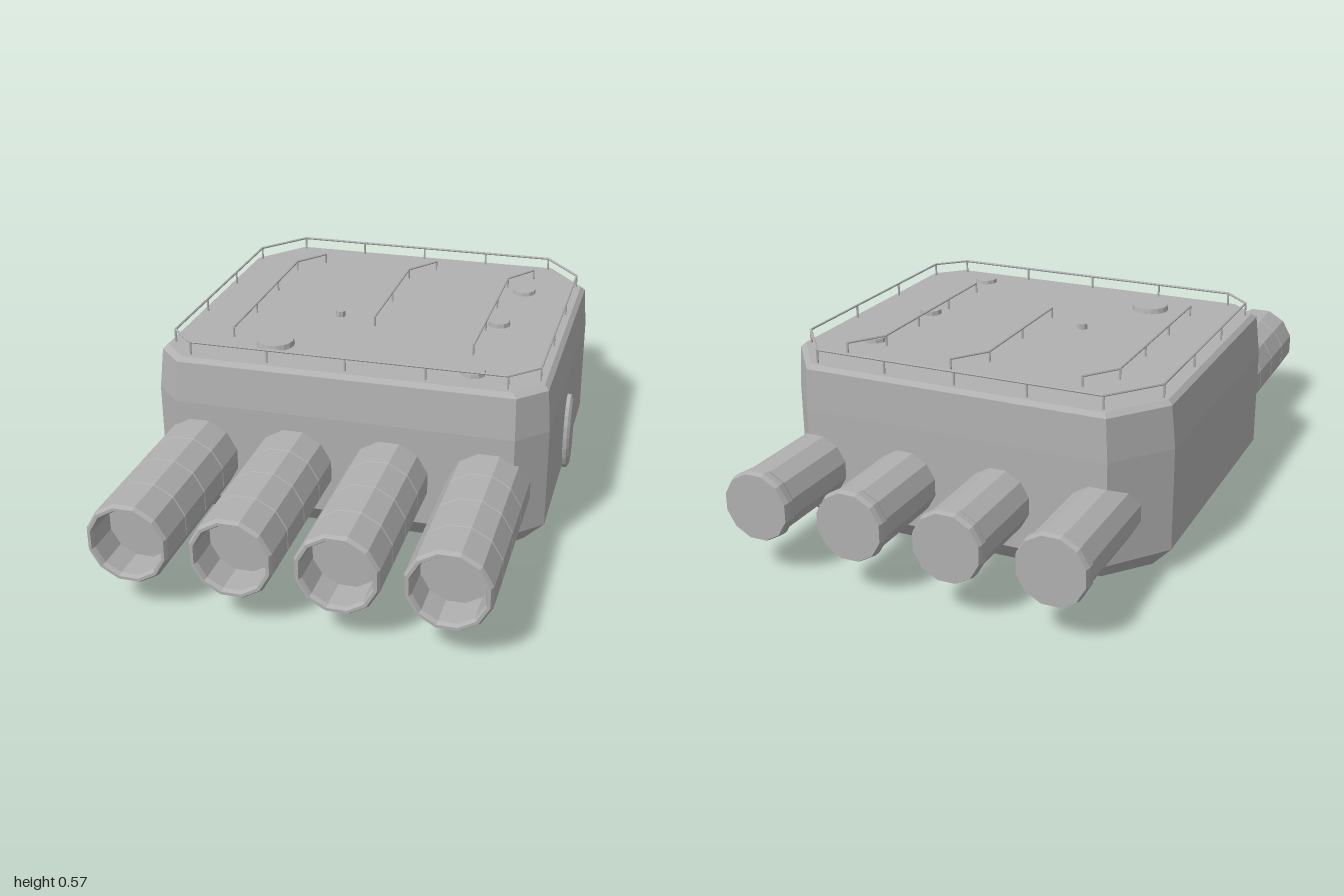
import * as THREE from 'three';

export function createModel() {
  const model = new THREE.Group();
  model.name = 'machineBlock';
  const grey = new THREE.MeshStandardMaterial({ color: 0xb0b0b0, flatShading: true });
  grey.name = 'plain grey';

  const add = (parent, name, geometry) => {
    const mesh = new THREE.Mesh(geometry, grey);
    mesh.name = name;
    parent.add(mesh);
    return mesh;
  };

  // Rectangle with cut corners, counter-clockwise from above
  const octagon = (x0, x1, z0, z1, front, bx, bz) => [
    [x1, z1 - front], [x1, z0 + bz], [x1 - bx, z0], [x0 + bx, z0],
    [x0, z0 + bz], [x0, z1 - front], [x0 + front, z1], [x1 - front, z1],
  ];

  // Body: stacked octagonal sections
  const levels = [
    [0, octagon(-0.56, 0.54, -0.61, 0.38, 0.05, 0.11, 0.13)],
    [0.075, octagon(-0.625, 0.605, -0.68, 0.445, 0.088, 0.135, 0.17)],
    [0.39, octagon(-0.625, 0.605, -0.68, 0.445, 0.088, 0.135, 0.17)],
    [0.517, octagon(-0.612, 0.595, -0.675, 0.43, 0.082, 0.13, 0.165)],
    [0.53, octagon(-0.598, 0.581, -0.662, 0.415, 0.08, 0.125, 0.16)],
  ];
  const positions = [];
  const point = (level, i) => {
    const [y, ring] = levels[level];
    const [x, z] = ring[i % 8];
    return [x, y, z];
  };
  const tri = (a, b, c) => positions.push(...a, ...b, ...c);
  const top = levels.length - 1;
  for (let i = 0; i < 8; i++) {
    for (let l = 0; l < top; l++) {
      const a = point(l, i), b = point(l, i + 1), c = point(l + 1, i + 1), d = point(l + 1, i);
      tri(a, b, c);
      tri(a, c, d);
    }
    tri([0, 0.53, -0.12], point(top, i), point(top, i + 1));
    tri([0, 0, -0.12], point(0, i + 1), point(0, i));
  }
  const body = new THREE.BufferGeometry();
  body.setAttribute('position', new THREE.Float32BufferAttribute(positions, 3));
  body.computeVertexNormals();
  add(model, 'body', body);

  // Twelve-sided pipes turned around the z axis
  const pipe = (profile, direction) => new THREE.LatheGeometry(
    profile.map(([r, y]) => new THREE.Vector2(r, y)), 12)
    .rotateY(Math.PI / 12).rotateX(direction * Math.PI / 2);

  // Front pipes: grooved outside, hollow mouth
  const frontProfile = [[0, 0.36], [0.124, 0.36]];
  for (const z of [0.57, 0.715, 0.86]) {
    frontProfile.push([0.124, z - 0.003], [0.121, z], [0.124, z + 0.003]);
  }
  frontProfile.push([0.124, 0.988], [0.117, 1], [0.108, 1], [0.102, 0.988], [0.102, 0.89], [0, 0.89]);
  const frontPipe = pipe(frontProfile, 1);

  // Rear pipes: closed, with a collar at the end
  const rearPipe = pipe([
    [0, 0.45], [0.1, 0.45], [0.1, 0.955], [0.107, 0.965],
    [0.107, 0.985], [0.102, 1], [0, 1],
  ], -1);

  [-0.463, -0.16, 0.14, 0.443].forEach((x) => {
    add(model, 'frontPipe', frontPipe).position.set(x, 0.215, 0);
    add(model, 'rearPipe', rearPipe).position.set(x, 0.215, 0);
  });

  // Oval hatch on the left side
  const hatch = new THREE.LatheGeometry([
    [0, 0], [1, 0], [1, 0.032], [0.88, 0.04], [0, 0.04],
  ].map(([r, y]) => new THREE.Vector2(r, y)), 20);
  hatch.scale(0.132, 1, 0.06).rotateZ(-Math.PI / 2);
  add(model, 'sideHatch', hatch).position.set(0.585, 0.183, -0.075);

  // Round hatches on the roof: x, z, radius, height, sides
  for (const [x, z, r, h, sides] of [
    [0.4, -0.395, 0.04, 0.012, 10], [0.37, -0.085, 0.036, 0.014, 10],
    [0.365, 0.315, 0.038, 0.012, 10], [-0.275, 0.25, 0.06, 0.016, 16],
    [-0.147, -0.03, 0.017, 0.018, 8],
  ]) {
    const lid = new THREE.CylinderGeometry(r * 0.94, r, h, sides);
    add(model, 'roofHatch', lid).position.set(x, 0.53 + h / 2, z);
  }

  // Railings: bars between points, posts at the ends and along each span
  const beam = (parent, name, a, b, radius) => {
    const dir = b.clone().sub(a);
    const bar = add(parent, name, new THREE.CylinderGeometry(radius, radius, dir.length(), 6));
    bar.position.copy(a).add(b).multiplyScalar(0.5);
    bar.quaternion.setFromUnitVectors(new THREE.Vector3(0, 1, 0), dir.normalize());
  };
  const railing = (name, path, height, spacing, closed) => {
    const group = new THREE.Group();
    group.name = name;
    model.add(group);
    const post = (p) => beam(group, 'post', new THREE.Vector3(p.x, 0.528, p.z), p, 0.0035);
    const pts = path.map(([x, z]) => new THREE.Vector3(x, height, z));
    const spans = closed ? pts.length : pts.length - 1;
    for (let i = 0; i < spans; i++) {
      const a = pts[i], b = pts[(i + 1) % pts.length];
      beam(group, 'rail', a, b, 0.004);
      const n = Math.max(1, Math.round(a.distanceTo(b) / spacing));
      for (let k = 0; k < n; k++) post(a.clone().lerp(b, k / n));
    }
    if (!closed) post(pts[pts.length - 1]);
  };
  railing('edgeRailing', octagon(-0.582, 0.565, -0.645, 0.395, 0.083, 0.12, 0.15), 0.571, 0.25, true);
  railing('roofRailLeft', [[0.41, -0.535], [0.337, -0.43], [0.337, 0.18]], 0.563, 0.2, false);
  railing('roofRailMiddle', [[0.06, -0.535], [-0.015, -0.43], [-0.015, 0.03]], 0.563, 0.23, false);
  railing('roofRailRight', [[-0.345, -0.51], [-0.42, -0.41], [-0.42, 0.23]], 0.563, 0.21, false);

  return model;
}
